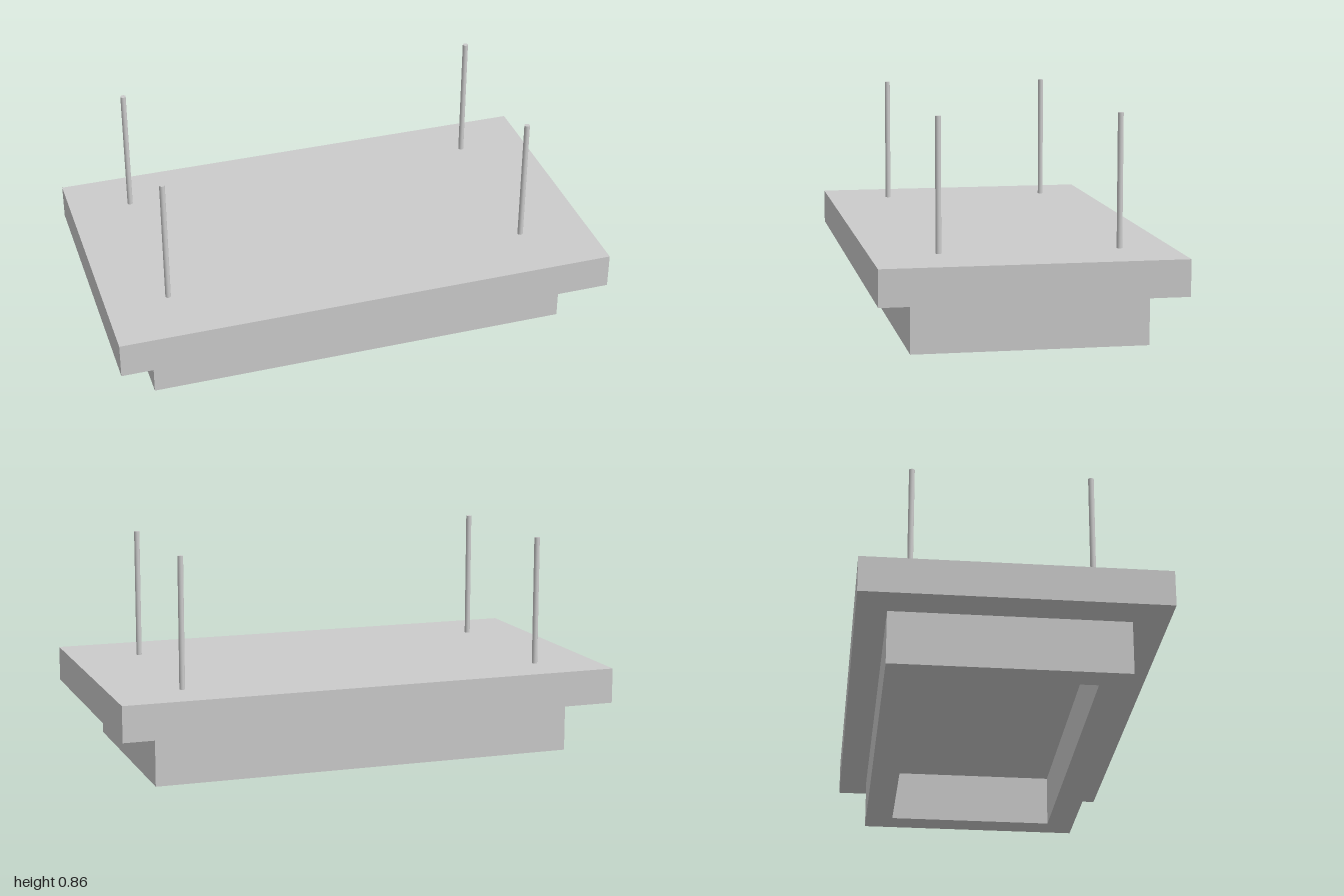
import * as THREE from 'three';

const material = new THREE.MeshStandardMaterial({ color: 0xcccccc });

function rectangle(path, x, z) {
  path.moveTo(-x, -z);
  path.lineTo(x, -z);
  path.lineTo(x, z);
  path.lineTo(-x, z);
  path.closePath();
  return path;
}

export function createModel() {
  const group = new THREE.Group();
  const add = (name, geometry, x, y, z) => {
    const mesh = new THREE.Mesh(geometry, material);
    mesh.name = name;
    mesh.position.set(x, y, z);
    group.add(mesh);
  };

  const slabBottom = 0.209, slabTop = 0.349, rodTop = 0.862;

  // Upper slab
  add('slab', new THREE.BoxGeometry(2, slabTop - slabBottom, 1.15), 0, (slabBottom + slabTop) / 2, 0);

  // Lower frame, open underneath up to the slab
  const wall = 0.113, halfX = 0.85, halfZ = 0.451;
  const outline = rectangle(new THREE.Shape(), halfX, halfZ);
  outline.holes.push(rectangle(new THREE.Path(), halfX - wall, halfZ - wall));
  const frame = new THREE.ExtrudeGeometry(outline, { depth: slabBottom, bevelEnabled: false });
  frame.rotateX(-Math.PI / 2);
  add('lowerFrame', frame, 0, 0, -0.01);

  // Four hanging rods
  const rod = new THREE.CylinderGeometry(0.011, 0.011, rodTop - slabTop, 16);
  for (const x of [-0.751, 0.719]) {
    for (const z of [-0.375, 0.315]) add('hangingRod', rod, x, (slabTop + rodTop) / 2, z);
  }

  return group;
}
